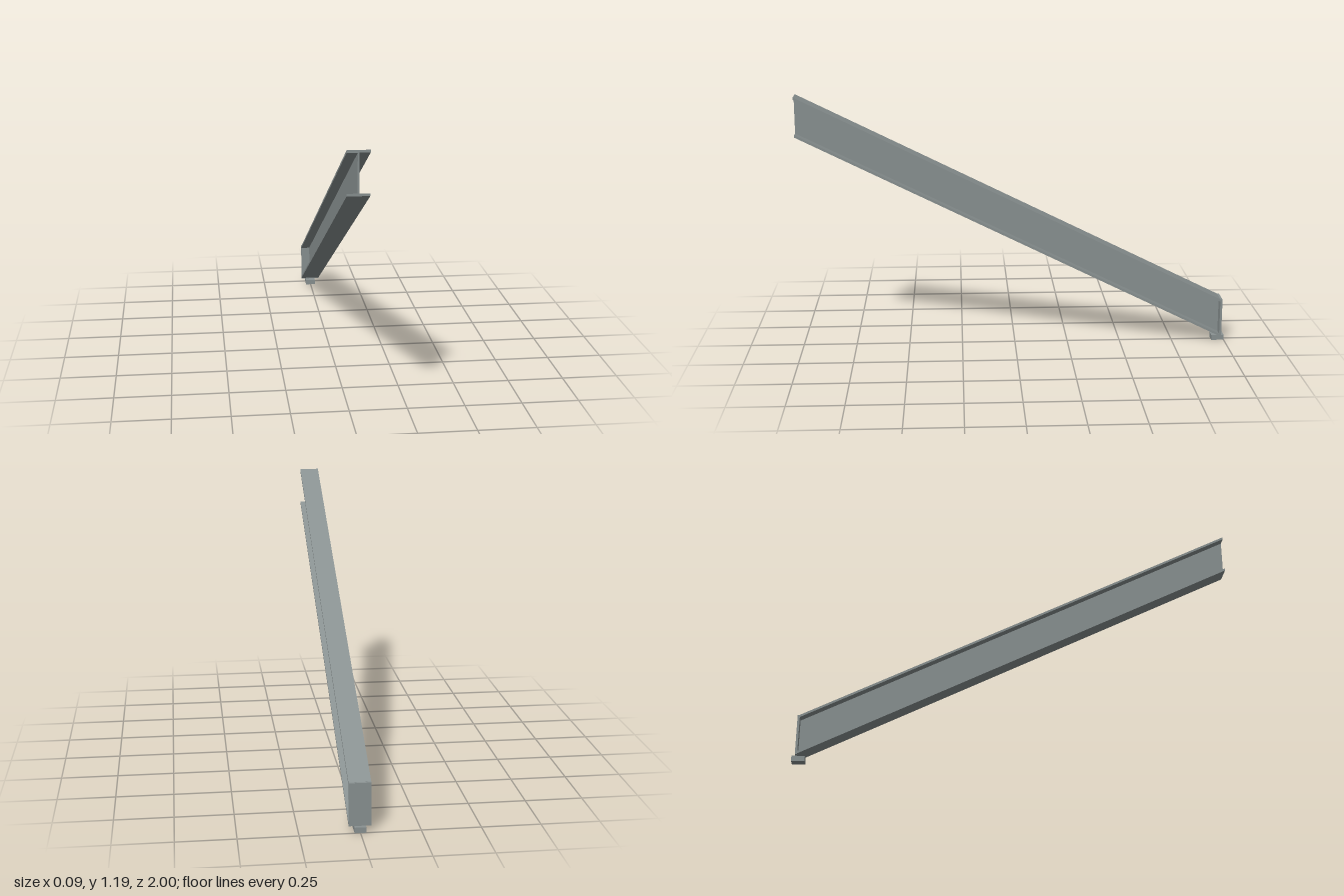
import * as THREE from 'three';

const FRONT = 1, BACK = -0.973, SLOPE = 0.497;
const TOP = 1.191, BOTTOM = 1.008; // beam heights at the front end
const FLANGE = 0.011, WIDTH = 0.093, WEB = 0.007;

export function createModel() {
  const model = new THREE.Group();
  model.name = 'slopedBeam';
  const steel = new THREE.MeshStandardMaterial({ color: 0x8a9292 });
  steel.name = 'steel grey';

  // Sloped slab with plumb-cut ends, given its heights at the front
  function slopedSlab(name, low, high, width) {
    const drop = (FRONT - BACK) * SLOPE;
    const side = new THREE.Shape([
      new THREE.Vector2(BACK, low - drop),
      new THREE.Vector2(FRONT, low),
      new THREE.Vector2(FRONT, high),
      new THREE.Vector2(BACK, high - drop),
    ]);
    const geometry = new THREE.ExtrudeGeometry(side, { depth: width, bevelEnabled: false });
    geometry.translate(0, 0, -width / 2);
    geometry.rotateY(-Math.PI / 2);
    add(name, geometry);
  }

  function box(name, width, y0, y1, z0, z1) {
    const geometry = new THREE.BoxGeometry(width, y1 - y0, z1 - z0);
    geometry.translate(0, (y0 + y1) / 2, (z0 + z1) / 2);
    add(name, geometry);
  }

  function add(name, geometry) {
    const mesh = new THREE.Mesh(geometry, steel);
    mesh.name = name;
    model.add(mesh);
  }

  // I-section beam
  slopedSlab('topFlange', TOP - FLANGE, TOP, WIDTH);
  slopedSlab('bottomFlange', BOTTOM, BOTTOM + FLANGE, WIDTH);
  slopedSlab('web', BOTTOM + FLANGE, TOP - FLANGE, WEB);

  // Upright plate closing the low end, resting on a small bearing block
  box('endPlate', WIDTH, 0.024, 0.21, -0.983, BACK);
  box('bearingBlock', 0.048, 0, 0.024, -1, -0.941);

  return model;
}
